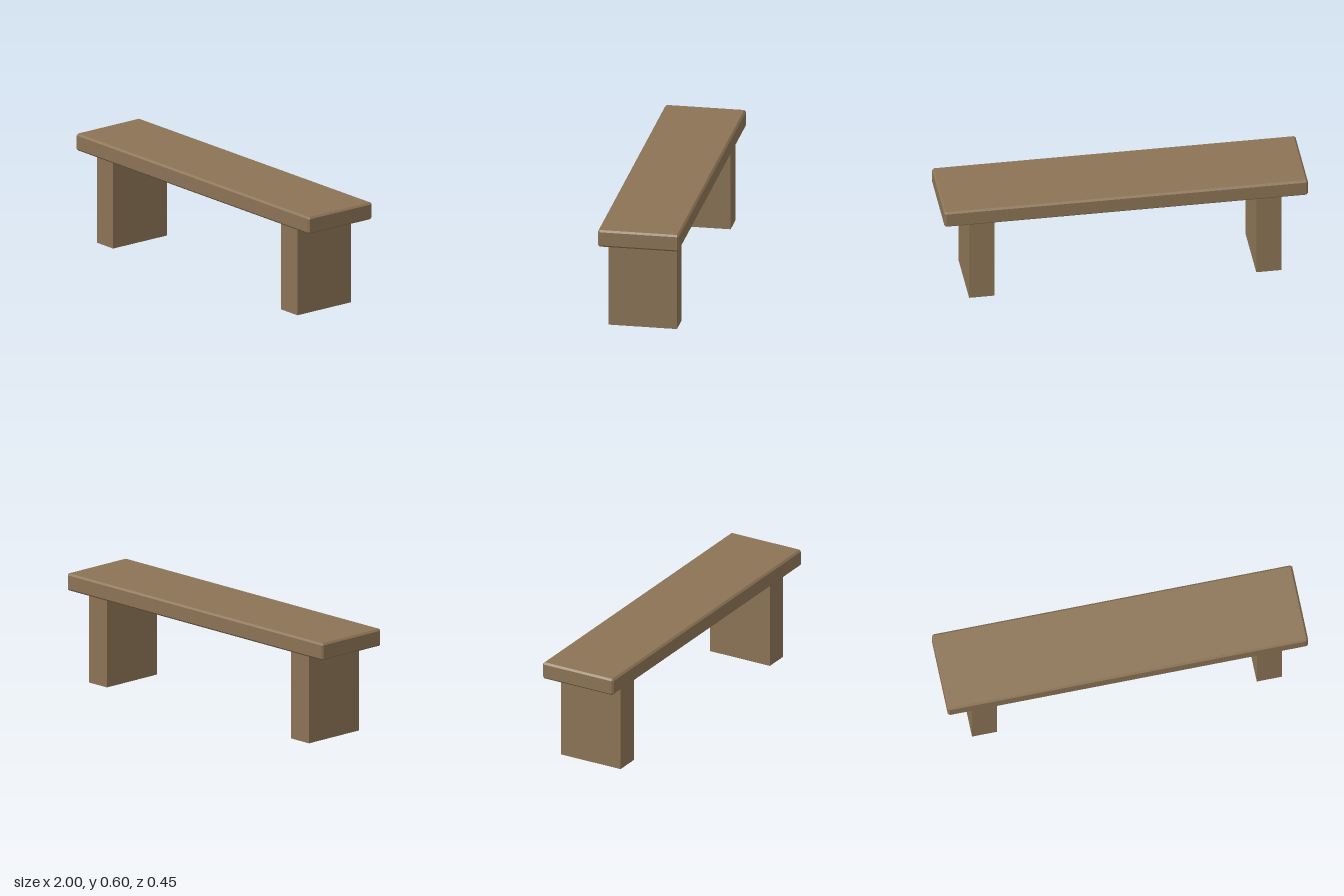
import * as THREE from 'three';
import { ConvexGeometry } from 'three/addons/geometries/ConvexGeometry.js';

// Box with every edge cut by a flat bevel: each corner becomes three points
function chamferedBox(width, height, depth, bevel) {
  const half = [width / 2, height / 2, depth / 2];
  const points = [];
  for (const sx of [-1, 1]) for (const sy of [-1, 1]) for (const sz of [-1, 1]) {
    for (let axis = 0; axis < 3; axis++) {
      const [x, y, z] = half.map((h, i) => (i === axis ? h : h - bevel));
      points.push(new THREE.Vector3(sx * x, sy * y, sz * z));
    }
  }
  return new ConvexGeometry(points);
}

export function createModel() {
  const wood = new THREE.MeshStandardMaterial({ color: 0x8b7355 });
  wood.name = 'wood';

  const bench = new THREE.Group();
  bench.name = 'bench';

  // Long plank with bevelled edges
  const seat = new THREE.Mesh(chamferedBox(2, 0.096, 0.448, 0.01), wood);
  seat.name = 'seat';
  seat.position.y = 0.547;
  bench.add(seat);

  // Two solid block legs
  const legHeight = 0.5;
  const legGeometry = new THREE.BoxGeometry(0.14, legHeight, 0.378);
  for (const [name, side] of [['leftLeg', 1], ['rightLeg', -1]]) {
    const leg = new THREE.Mesh(legGeometry, wood);
    leg.name = name;
    leg.position.set(side * 0.79, legHeight / 2, 0);
    bench.add(leg);
  }

  return bench;
}
